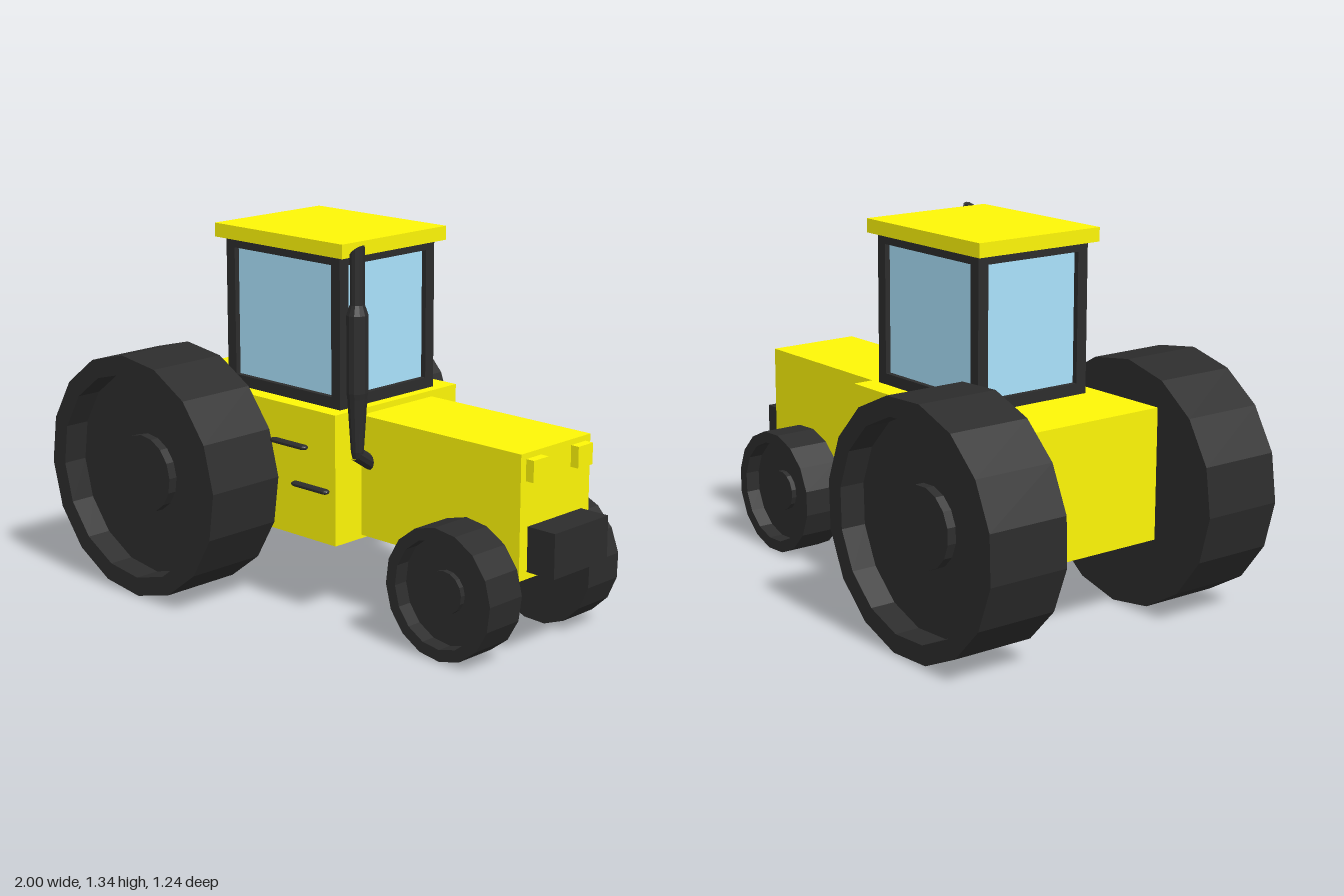
import * as THREE from 'three';

const mat = (color) => new THREE.MeshStandardMaterial({ color, flatShading: true });

export function createModel() {
  const model = new THREE.Group();
  model.name = 'tractor';
  const yellow = mat(0xfdf606), dark = mat(0x2c2c2c), glass = mat(0xaae2fc);

  const add = (name, geometry, material, parent = model) => {
    const mesh = new THREE.Mesh(geometry, material);
    mesh.name = name;
    parent.add(mesh);
    return mesh;
  };
  // Box given by its extents along each axis
  const box = (name, [x0, x1], [y0, y1], [z0, z1], material, parent) => {
    const mesh = add(name, new THREE.BoxGeometry(x1 - x0, y1 - y0, z1 - z0), material, parent);
    mesh.position.set((x0 + x1) / 2, (y0 + y1) / 2, (z0 + z1) / 2);
    return mesh;
  };

  // Body, hood and front weight
  box('body', [-0.738, 0.167], [0.282, 0.752], [-0.31, 0.31], yellow);
  box('hood', [0.16, 0.885], [0.295, 0.73], [-0.18, 0.18], yellow);
  box('frontWeight', [0.88, 1.0], [0.32, 0.477], [-0.14, 0.14], dark);
  for (const s of [-1, 1]) {
    const z = [s * 0.116 - 0.038, s * 0.116 + 0.038];
    box('headlight', [0.88, 0.917], [0.635, 0.71], z, yellow);
  }

  // Cab: corner posts, rails, set-back glass and roof
  const cab = new THREE.Group();
  cab.name = 'cab';
  model.add(cab);
  const X = [-0.437, 0.13], Z = [-0.228, 0.248], Y = [0.75, 1.29], t = 0.042;
  const ends = ([a, b]) => [[a, a + t], [b - t, b]];
  for (const x of ends(X)) for (const z of ends(Z)) box('cabPost', x, Y, z, dark, cab);
  for (const y of [[0.75, 0.792], [1.255, 1.29]]) {
    for (const z of ends(Z)) box('cabSideRail', [X[0] + t, X[1] - t], y, z, dark, cab);
    for (const x of ends(X)) box('cabEndRail', x, y, [Z[0] + t, Z[1] - t], dark, cab);
  }
  box('windows', [X[0] + 0.02, X[1] - 0.02], [0.77, 1.275], [Z[0] + 0.02, Z[1] - 0.02], glass, cab);
  box('roof', [-0.47, 0.165], [1.288, 1.338], [-0.25, 0.272], yellow, cab);

  // Wheels: flat inside, straight-walled recessed rim with raised hub outside
  const wheel = (name, x, y, side, zInner, R, width, rim, hub, depth) => {
    const profile = [
      [0, 0], [R, 0], [R, width], [rim, width], [rim, width - depth],
      [hub, width - depth], [hub, width - depth * 0.65], [0, width - depth * 0.65],
    ].map(([r, h]) => new THREE.Vector2(r, h));
    const geometry = new THREE.LatheGeometry(profile, 16, side > 0 ? 0.06 : 0.23);
    geometry.rotateX(Math.PI / 2);
    if (side < 0) geometry.rotateY(Math.PI);
    add(name, geometry, dark).position.set(x, y, side * zInner);
  };
  for (const s of [-1, 1]) {
    wheel('rearWheel', -0.56, 0.449, s, 0.31, 0.444, 0.31, 0.375, 0.143, 0.095);
    wheel('frontWheel', 0.668, 0.236, s, 0.18, 0.232, 0.16, 0.19, 0.075, 0.055);
  }

  // Rounded step bars on both sides of the body
  for (const s of [-1, 1]) {
    for (const [x0, x1, y] of [[-0.135, 0.042, 0.615], [-0.03, 0.147, 0.476]]) {
      const bar = new THREE.CapsuleGeometry(0.016, x1 - x0 - 0.032, 4, 10);
      bar.rotateZ(Math.PI / 2).scale(1, 0.6, 1);
      add('stepBar', bar, dark).position.set((x0 + x1) / 2, y, s * 0.325);
    }
  }

  // Exhaust: straight elbow from the hood, tapered muffler and slant-cut stack
  const exhaust = new THREE.Group();
  exhaust.name = 'exhaust';
  model.add(exhaust);
  const elbow = new THREE.LineCurve3(
    new THREE.Vector3(0.2, 0.56, 0.165),
    new THREE.Vector3(0.203, 0.613, 0.247),
  );
  add('exhaustElbow', new THREE.TubeGeometry(elbow, 1, 0.026, 10), dark, exhaust);
  const stack = new THREE.LatheGeometry([
    [0, 0.59], [0.018, 0.595], [0.024, 0.62], [0.037, 0.81], [0.04, 0.83], [0.04, 1.1],
    [0.027, 1.135], [0.027, 1.32], [0.021, 1.32], [0.019, 1.25], [0, 1.25],
  ].map(([r, y]) => new THREE.Vector2(r, y)), 12);
  const p = stack.attributes.position;
  for (let i = 0; i < p.count; i++) {
    if (p.getY(i) > 1.31) p.setY(i, 1.32 + p.getX(i) * 0.75);
    p.setX(i, p.getX(i) * 0.92);
  }
  add('exhaustStack', stack, dark, exhaust).position.set(0.208, 0, 0.243);

  return model;
}
